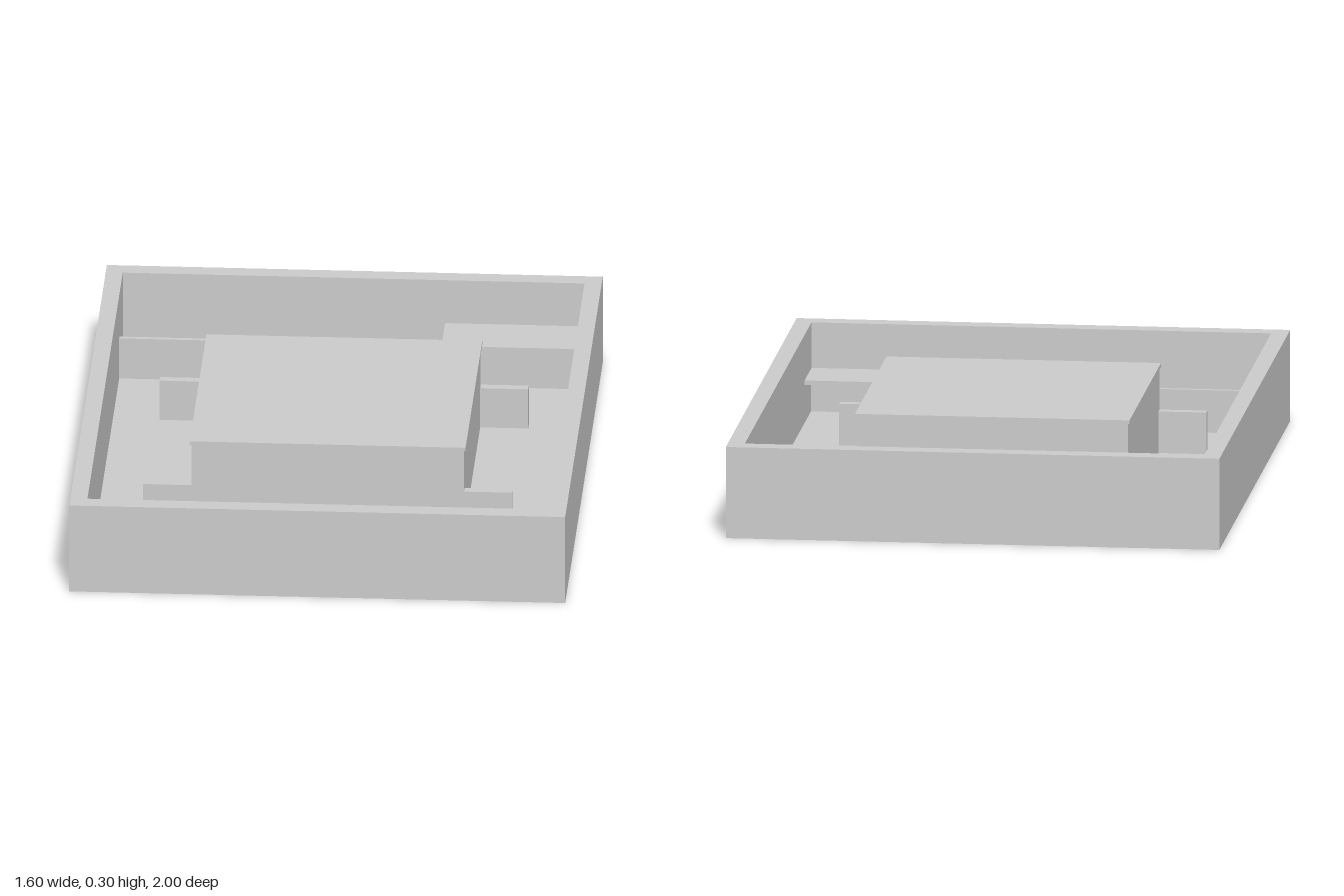
import * as THREE from 'three';

export function createModel() {
  const group = new THREE.Group();
  const mat = new THREE.MeshStandardMaterial({ color: 0xcccccc, side: THREE.DoubleSide });

  const add = (name, geometry) => {
    const mesh = new THREE.Mesh(geometry, mat);
    mesh.name = name;
    group.add(mesh);
    return mesh;
  };
  // Box given by its lower and upper corners
  const box = (name, x0, x1, y0, y1, z0, z1) => {
    const mesh = add(name, new THREE.BoxGeometry(x1 - x0, y1 - y0, z1 - z0));
    mesh.position.set((x0 + x1) / 2, (y0 + y1) / 2, (z0 + z1) / 2);
    return mesh;
  };

  const inX = 0.745, inZ = 0.94, floor = 0.01;

  // Rectangular wall frame, open at the top
  const frame = new THREE.Shape();
  frame.moveTo(-0.8, -1).lineTo(0.8, -1).lineTo(0.8, 1).lineTo(-0.8, 1).closePath();
  const hole = new THREE.Path();
  hole.moveTo(-inX, -inZ).lineTo(-inX, inZ).lineTo(inX, inZ).lineTo(inX, -inZ).closePath();
  frame.holes.push(hole);
  const walls = new THREE.ExtrudeGeometry(frame, { depth: 0.3, bevelEnabled: false });
  walls.rotateX(-Math.PI / 2);
  add('walls', walls);
  box('floor', -inX, inX, 0, floor, -inZ, inZ);

  // Central block with a thin lid
  box('centralBlock', -0.44, 0.44, floor, 0.288, -0.44, 0.44);
  box('blockLid', -0.445, 0.445, 0.288, 0.3, -0.445, 0.445);

  // Low tabs on both sides of the block
  for (const x of [-0.595, 0.44]) {
    for (const z of [-0.445, 0.415]) box('sideTab', x, x + 0.155, floor, 0.147, z, z + 0.03);
  }

  // Raised shelves in the right corners, each carried by one upright plate
  box('backShelf', 0.295, inX, 0.135, 0.15, -inZ, -0.765);
  box('backShelfPlate', 0.295, inX, floor, 0.15, -0.765, -0.75);
  box('frontShelf', 0.295, inX, 0.135, 0.15, 0.745, 0.925);
  box('frontShelfPlate', 0.295, inX, floor, 0.15, 0.925, inZ);

  // Curved ramps in the left corners, sloping down towards the middle
  const ramp = (name, z0, z1) => {
    const shape = new THREE.Shape();
    shape.moveTo(-inX, floor);
    shape.lineTo(-0.3, floor);
    for (let i = 15; i >= 0; i--) {
      const t = i / 16;
      shape.lineTo(-inX + 0.445 * t, floor + 0.07 * (1 - t * t));
    }
    shape.closePath();
    const geometry = new THREE.ExtrudeGeometry(shape, { depth: z1 - z0, bevelEnabled: false });
    geometry.translate(0, 0, z0);
    add(name, geometry);
  };
  ramp('backRamp', -0.93, -0.765);
  box('backRampPlate', -inX, -0.3, floor, 0.15, -0.765, -0.75);
  ramp('frontRamp', 0.76, inZ);
  box('frontRampPlate', -inX, -0.3, floor, 0.15, 0.745, 0.76);

  return group;
}
